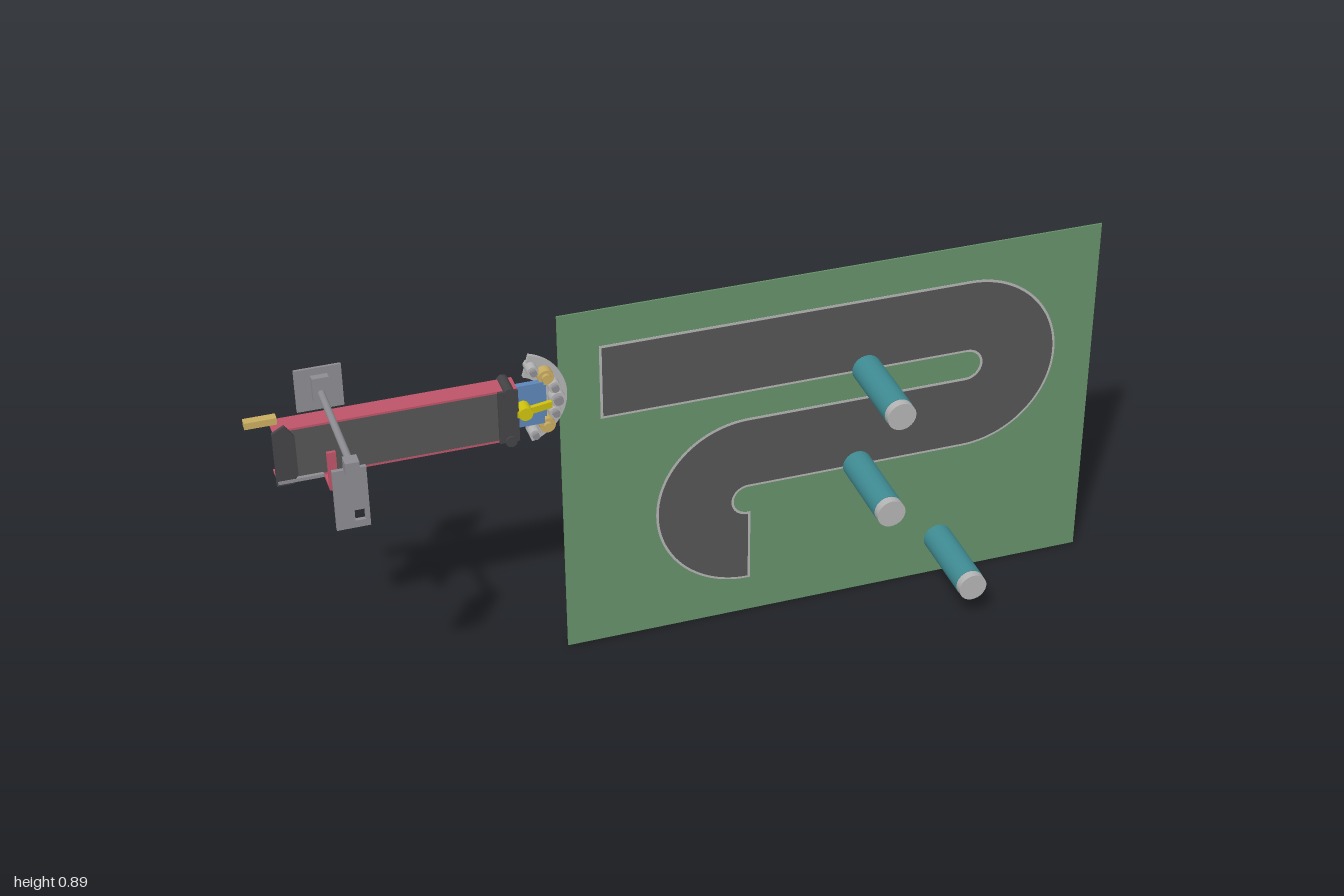
import * as THREE from 'three';

const mat = (name, color) => {
  const m = new THREE.MeshStandardMaterial({ color });
  m.name = name;
  return m;
};

export function createModel() {
  const model = new THREE.Group();
  model.name = 'conveyorAndBoard';
  const green = mat('boardGreen', 0x659069);
  const dark = mat('darkGrey', 0x555555);
  const light = mat('lightGrey', 0xb4b4b4);
  const teal = mat('teal', 0x3f8b93);
  const red = mat('railRed', 0xbe5468);
  const gold = mat('gold', 0xc8ac60);
  const yellow = mat('yellow', 0xcfc210);
  const blue = mat('blue', 0x5c86b8);
  const steel = mat('steelGrey', 0x8c8c92);
  const black = mat('charcoal', 0x444446);

  const add = (name, geo, m, x = 0, y = 0, z = 0) => {
    const mesh = new THREE.Mesh(geo, m);
    mesh.name = name;
    mesh.position.set(x, y, z);
    model.add(mesh);
    return mesh;
  };
  // Box from its extents on each axis
  const box = (name, m, x0, x1, y0, y1, z0, z1) =>
    add(name, new THREE.BoxGeometry(x1 - x0, y1 - y0, z1 - z0), m,
      (x0 + x1) / 2, (y0 + y1) / 2, (z0 + z1) / 2);
  // Cylinder along z
  const rod = (name, m, x, y, r, z0, z1, n = 32) =>
    add(name, new THREE.CylinderGeometry(r, r, z1 - z0, n).rotateX(Math.PI / 2), m, x, y, (z0 + z1) / 2);
  const plate = (name, shape, m, z, depth) =>
    add(name, new THREE.ExtrudeGeometry(shape, { depth, bevelEnabled: false, curveSegments: 32 }), m, 0, 0, z);
  const rectPath = (P, x0, x1, y0, y1) => {
    const p = new P();
    p.moveTo(x0, y0); p.lineTo(x1, y0); p.lineTo(x1, y1); p.lineTo(x0, y1); p.closePath();
    return p;
  };

  // Board with the winding track, edged by a slightly larger plate beneath
  box('board', green, -0.3, 1, 0, 0.895, -0.163, -0.159);
  const track = (o) => {
    const s = new THREE.Shape(), h = Math.PI / 2, R = 0.2185 + o, r = 0.0415 - o;
    s.moveTo(-0.2 - o, 0.797 + o);
    s.lineTo(0.68, 0.797 + o);
    s.absarc(0.68, 0.5785, R, h, -h, true);
    s.lineTo(0.145, 0.36 - o);
    s.absarc(0.145, 0.3185, r, h, 3 * h, false);
    s.lineTo(0.145 + o, 0.277 + o);
    s.lineTo(0.145 + o, 0.1 - o);
    s.absarc(0.145, 0.3185, R, 3 * h, h, true);
    s.lineTo(0.68, 0.537 + o);
    s.absarc(0.68, 0.5785, r, -h, h, false);
    s.lineTo(-0.2 - o, 0.62 - o);
    s.closePath();
    return s;
  };
  plate('trackEdge', track(0.006), light, -0.159, 0.0008);
  plate('track', track(0), dark, -0.159, 0.0016);

  // Pegs with pale end caps
  for (const [x, y] of [[0.43, 0.62], [0.415, 0.36], [0.632, 0.1]]) {
    rod('peg', teal, x, y, 0.035, -0.159, 0.04);
    rod('pegCap', light, x, y, 0.034, 0.04, 0.06);
  }

  // Conveyor arm: panel between two flanges
  box('beltPanel', dark, -0.945, -0.41, 0.642, 0.772, -0.105, -0.097);
  for (const y of [0.642, 0.768]) box('rail', red, -0.945, -0.41, y, y + 0.005, -0.145, -0.0965);
  const end = new THREE.Shape();
  [[-0.948, 0.638], [-0.912, 0.638], [-0.9, 0.66], [-0.9, 0.755], [-0.92, 0.785], [-0.948, 0.77]]
    .forEach(([x, y], i) => (i ? end.lineTo(x, y) : end.moveTo(x, y)));
  end.closePath();
  plate('endPlate', end, black, -0.097, 0.008);
  box('endBar', steel, -0.945, -0.845, 0.642, 0.65, -0.0965, -0.088);
  box('handle', gold, -1, -0.93, 0.777, 0.793, -0.135, -0.115);

  // Hooked red bracket under the arm
  box('bracketFoot', red, -0.84, -0.82, 0.62, 0.627, -0.125, -0.065);
  box('bracketStem', red, -0.84, -0.82, 0.62, 0.643, -0.13, -0.122);
  box('bracketUpright', red, -0.84, -0.82, 0.62, 0.715, -0.073, -0.065);

  // Rear plate, cross rod and hanging front plate
  box('rearPlate', steel, -0.88, -0.777, 0.772, 0.875, -0.16, -0.154);
  box('rearSocket', steel, -0.845, -0.808, 0.8, 0.858, -0.154, -0.138);
  rod('crossRod', steel, -0.827, 0.82, 0.008, -0.154, 0.14, 20);
  box('rodHead', steel, -0.842, -0.812, 0.804, 0.834, 0.135, 0.165);
  const sign = rectPath(THREE.Shape, -0.867, -0.795, 0.66, 0.806);
  sign.holes.push(rectPath(THREE.Path, -0.827, -0.805, 0.677, 0.703));
  plate('frontPlate', sign, steel, 0.135, 0.009);

  // Joint between arm and board
  box('jointCollar', black, -0.455, -0.41, 0.642, 0.772, -0.14, -0.09);
  for (const y of [0.645, 0.768]) rod('collarPin', black, -0.43, y, 0.013, -0.15, -0.085, 16);
  box('jointPlate', blue, -0.475, -0.337, 0.667, 0.755, -0.143, -0.129);
  box('jointBlock', blue, -0.408, -0.345, 0.657, 0.762, -0.131, -0.118);
  box('rearLatch', gold, -0.405, -0.375, 0.695, 0.725, -0.152, -0.143);
  box('rearLatchBar', yellow, -0.51, -0.465, 0.703, 0.717, -0.148, -0.13);

  // Yellow pointer, tilted toward the board
  box('pointer', yellow, -0.415, -0.33, 0.701, 0.717, -0.107, -0.097).rotation.y = 0.2;
  rod('pointerHub', yellow, -0.395, 0.709, 0.016, -0.118, -0.085, 20);

  // Curved fan plate carrying rollers
  const cx = -0.4, cy = 0.708, a = 1.3;
  const fan = new THREE.Shape();
  fan.absarc(cx, cy, 0.115, -a, a, false);
  fan.absarc(cx, cy, 0.06, a, -a, true);
  fan.closePath();
  plate('fanPlate', fan, light, -0.155, 0.01);
  for (const [t, m, r] of [[-1.18, light, 0.013], [-0.78, gold, 0.018], [-0.38, light, 0.014],
    [0, light, 0.018], [0.38, light, 0.014], [0.78, gold, 0.018], [1.18, light, 0.013]]) {
    const x = cx + 0.088 * Math.cos(t), y = cy + 0.088 * Math.sin(t);
    rod('roller', m, x, y, r, -0.16, -0.122, 20);
    rod('rollerPin', m === gold ? gold : steel, x, y, r * 0.6, -0.125, -0.114, 16);
  }

  return model;
}
